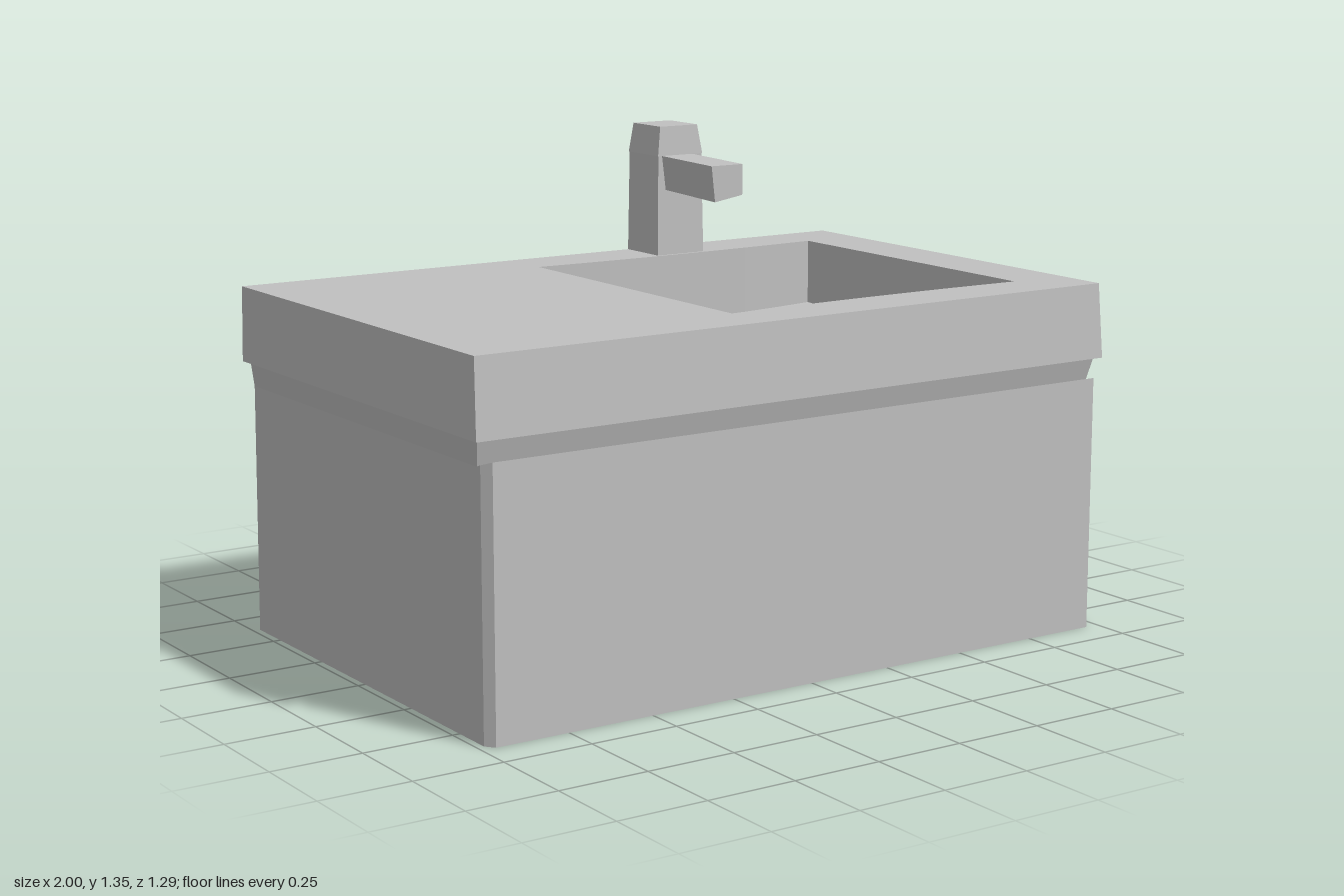
import * as THREE from 'three';

const grey = new THREE.MeshStandardMaterial({ color: 0xc0c0c0 });
grey.name = 'satin grey';

// Apply a rule to every vertex, then rebuild normals
function reshape(geo, rule, flat = true) {
  const g = flat && geo.index ? geo.toNonIndexed() : geo;
  const p = g.attributes.position;
  const v = new THREE.Vector3();
  for (let i = 0; i < p.count; i++) {
    v.fromBufferAttribute(p, i);
    rule(v);
    p.setXYZ(i, v.x, v.y, v.z);
  }
  g.computeVertexNormals();
  return g;
}

// Six-sided block; each rectangle is [xMin, xMax, zMin, zMax]
function block(y0, bottom, y1, top) {
  return reshape(new THREE.BoxGeometry(1, 1, 1), (v) => {
    const r = v.y > 0 ? top : bottom;
    v.set(v.x < 0 ? r[0] : r[1], v.y > 0 ? y1 : y0, v.z < 0 ? r[2] : r[3]);
  });
}

// Extrude a plan outline (drawn as x, -z) upwards
function extrudeUp(shape, y0, height) {
  const g = new THREE.ExtrudeGeometry(shape, { depth: height, bevelEnabled: false, curveSegments: 8 });
  return g.rotateX(-Math.PI / 2).translate(0, y0, 0);
}

function planShape(points) {
  return new THREE.Shape(points.map(([x, z]) => new THREE.Vector2(x, -z)));
}

export function createModel() {
  const group = new THREE.Group();
  group.name = 'washstand';
  const add = (name, geo) => {
    const mesh = new THREE.Mesh(geo, grey);
    mesh.name = name;
    group.add(mesh);
    return mesh;
  };

  // Cabinet body, leaning forward slightly above the finger groove
  add('cabinetBody', block(0, [-0.98, 0.98, -0.625, 0.595], 0.695, [-0.975, 0.975, -0.625, 0.595]));
  add('cabinetNeck', block(0.695, [-0.975, 0.975, -0.625, 0.595], 0.764, [-0.985, 0.985, -0.625, 0.615]));

  // Drawer front with chamfered corners and a top edge sloping into the groove
  const front = planShape([
    [-0.98, 0.595], [-0.98, 0.62], [-0.96, 0.645],
    [0.96, 0.645], [0.98, 0.62], [0.98, 0.595],
  ]);
  add('drawerFront', reshape(extrudeUp(front, 0, 0.713), (v) => {
    if (v.y > 0.5) v.y = 0.695 + (v.z - 0.595) * 0.36;
  }));

  // Countertop with a basin opening whose long edges bow inwards
  const top = planShape([[-1, 0.637], [0.997, 0.637], [0.997, -0.643], [-1, -0.643]]);
  const hole = new THREE.Path();
  hole.moveTo(-0.14, -0.472);
  hole.lineTo(-0.14, 0.49);
  hole.quadraticCurveTo(0.33, 0.46, 0.815, 0.485);
  hole.lineTo(0.815, -0.472);
  hole.quadraticCurveTo(0.33, -0.445, -0.14, -0.472);
  top.holes.push(hole);
  add('countertop', reshape(extrudeUp(top, 0.765, 0.208), (v) => {
    if (v.y < 0.9) return;
    if (v.x > 0.9) v.x -= 0.009;
    if (v.x < -0.9) v.x += 0.004;
    if (v.z > 0.6) v.z -= 0.012;
  }));

  // Basin floor: shallow at the front, deepest below the spout
  const floor = new THREE.PlaneGeometry(0.965, 0.97, 8, 14);
  floor.rotateX(-Math.PI / 2).translate(0.3375, 0, -0.008);
  add('basinFloor', reshape(floor, (v) => {
    const rise = v.z > -0.2 ? (v.z + 0.2) * 0.155 : (-0.2 - v.z) * 0.03;
    const side = (v.x - 0.3375) / 0.4825;
    v.y = 0.768 + rise + 0.008 * side * side;
  }, false));

  // Drain plug
  const drain = add('drainPlug', new THREE.CylinderGeometry(0.035, 0.025, 0.025, 8));
  drain.position.set(0.355, 0.782, -0.3);

  // Tap: column, tapered cap and square spout
  add('tapColumn', block(0.94, [0.265, 0.427, -0.645, -0.483], 1.265, [0.27, 0.422, -0.641, -0.488]));
  add('tapCap', block(1.265, [0.268, 0.424, -0.643, -0.486], 1.35, [0.28, 0.41, -0.635, -0.493]));
  const spout = add('tapSpout', reshape(block(1.165, [0.295, 0.39, -0.5, -0.233], 1.265, [0.283, 0.39, -0.5, -0.233]), (v) => {
    if (v.z > -0.3) v.y -= v.y > 1.2 ? 0.006 : v.x < 0.35 ? 0.01 : -0.005;
  }));
  spout.geometry.computeVertexNormals();

  return group;
}
